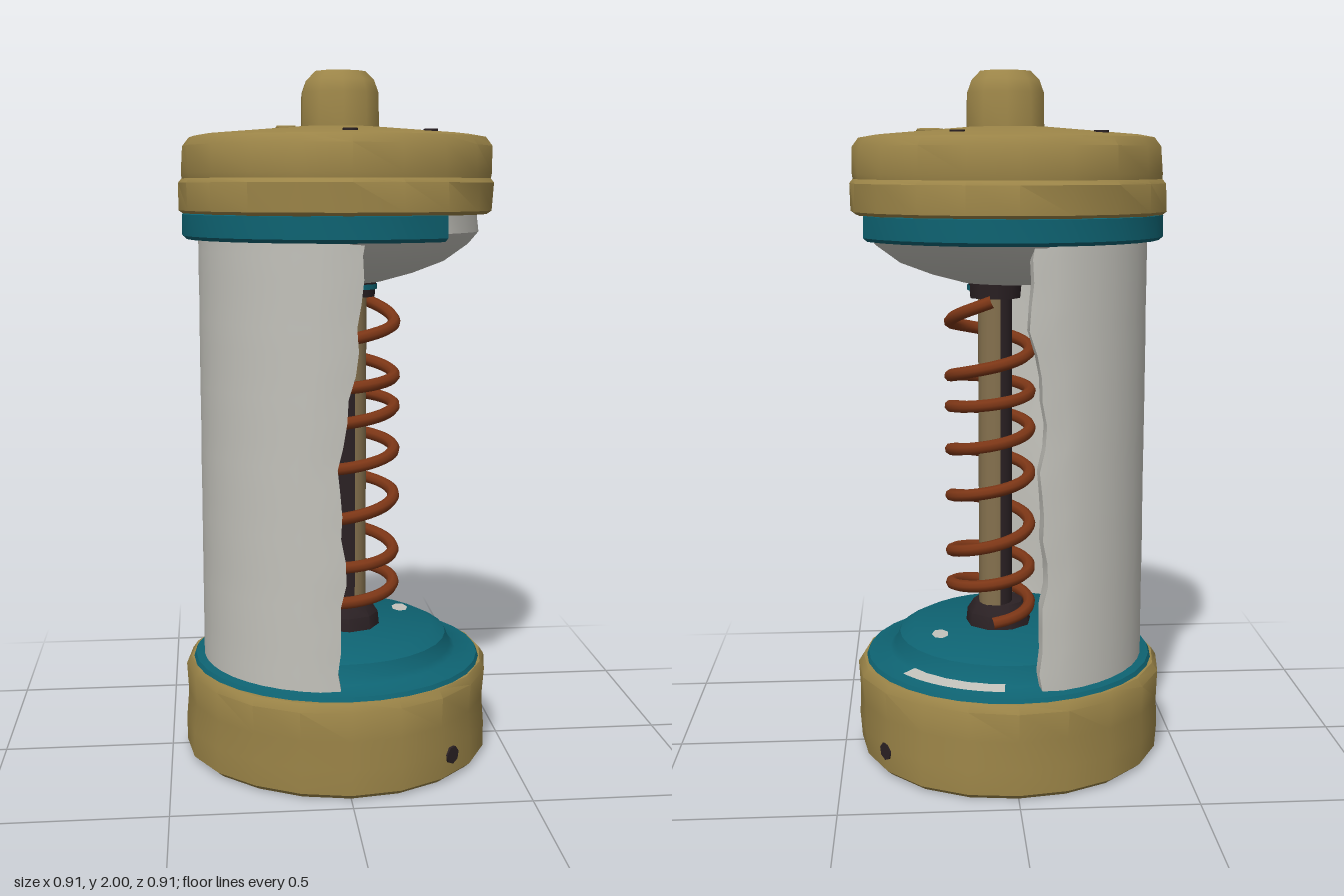
import * as THREE from 'three';
import { toCreasedNormals } from 'three/addons/utils/BufferGeometryUtils.js';

const paint = (name, color, side = THREE.FrontSide) => {
  const m = new THREE.MeshStandardMaterial({ color, side });
  m.name = name;
  return m;
};

export function createModel() {
  const brass = paint('brass', 0x9c8548);
  const teal = paint('teal', 0x0e6372, THREE.DoubleSide);
  const white = paint('offWhite', 0xc3c2bb, THREE.DoubleSide);
  const copper = paint('copper', 0x7c3616);
  const dark = paint('darkMetal', 0x2b2124, THREE.DoubleSide);
  const rodTan = paint('rodTan', 0x85714e);

  const model = new THREE.Group();
  const add = (name, geo, mat, x = 0, y = 0, z = 0) => {
    const m = new THREE.Mesh(geo, mat);
    m.name = name;
    m.position.set(x, y, z);
    model.add(m);
    return m;
  };

  // Turned part from [radius, height] pairs, with an optional vertex rule
  const turned = (pts, sides = 20, start = 0, sweep = Math.PI * 2, rule = null) => {
    const g = new THREE.LatheGeometry(pts.map(p => new THREE.Vector2(p[0], p[1])), sides, start, sweep);
    if (rule) {
      const p = g.attributes.position;
      for (let i = 0; i < p.count; i++) {
        const k = rule(Math.atan2(p.getX(i), p.getZ(i)), p.getY(i));
        p.setX(i, p.getX(i) * k);
        p.setZ(i, p.getZ(i) * k);
      }
    }
    return toCreasedNormals(g, 0.7);
  };
  const worn = (a, y) => 1 + 0.008 * Math.sin(3 * a + 9 * y) + 0.005 * Math.cos(5 * a - 14 * y);

  // Lower cap and its seat
  add('lowerCap', turned([[0, 0], [0.435, 0], [0.452, 0.015], [0.455, 0.09], [0.45, 0.17],
    [0.455, 0.255], [0.44, 0.278], [0, 0.28]], 20, 0, Math.PI * 2, worn), brass);
  add('lowerSeat', turned([[0.435, 0.27], [0.425, 0.29], [0.36, 0.3], [0.345, 0.315], [0.33, 0.35],
    [0.29, 0.37], [0, 0.372]], 32), teal);
  add('residueArc', turned([[0.395, 0.299], [0.35, 0.306]], 12, 2.2, 0.85), white);
  const chip = add('residueChip', new THREE.CircleGeometry(0.025, 7), white, 0.21, 0.375, -0.115);
  chip.rotation.x = -Math.PI / 2;
  chip.scale.y = 1.6;

  // Upper cap
  add('upperCap', turned([[0, 1.6], [0.44, 1.6], [0.454, 1.61], [0.455, 1.688], [0.445, 1.7],
    [0.447, 1.715], [0.444, 1.79], [0.425, 1.815], [0.38, 1.823], [0.12, 1.845], [0, 1.846]],
    20, 0, Math.PI * 2, worn), brass);
  add('upperSeal', turned([[0.4, 1.535], [0.435, 1.53], [0.446, 1.54], [0.446, 1.6], [0.4, 1.61]],
    24, 1.96, Math.PI * 2 - 1.32), teal);

  // Nozzle with a shallow bore
  add('nozzle', turned([[0.115, 1.83], [0.113, 1.94], [0.1, 1.975], [0.075, 2], [0.06, 1.995],
    [0.043, 1.965], [0, 1.962]], 10), brass, 0.01);

  // Ceiling bowl inside the upper seal
  add('ceilingBowl', turned([[0, 1.4], [0.13, 1.405], [0.22, 1.43], [0.31, 1.465], [0.38, 1.515],
    [0.41, 1.55], [0.405, 1.6]], 32, 0, Math.PI * 2,
    (a, y) => 1 + 0.03 * Math.sin(4 * a + 1) * Math.min(1, (1.6 - y) * 8)), white);

  // Broken half shell: one closed cross-section loop per level
  const rows = 20, cols = 20, loop = 2 * (cols + 1);
  const pos = [], idx = [];
  for (let j = 0; j <= rows; j++) {
    const t = j / rows, y = 0.28 + 1.28 * t;
    const ragged = 0.008 * Math.sin(17 * t) + 0.006 * Math.sin(41 * t);
    const flare = THREE.MathUtils.smoothstep(t, 0.55, 0.85);
    const a0 = Math.asin((0.02 - 0.055 * flare + ragged) / 0.38);
    const a1 = Math.PI - Math.asin((0.07 - 0.03 * flare - ragged) / 0.38);
    for (let i = 0; i < loop; i++) {
      const inner = i > cols;
      const u = inner ? (loop - 1 - i) / cols : i / cols;
      const a = a0 + (a1 - a0) * u;
      const edge = u === 0 || u === 1 ? 0.008 : 0;
      const r = inner ? 0.345 + edge + 0.007 * Math.sin(5 * a + 9 * t) : 0.4 - edge;
      pos.push(-r * Math.sin(a), y, r * Math.cos(a));
      if (j < rows) {
        const p = j * loop + i, q = j * loop + (i + 1) % loop;
        idx.push(p, p + loop, q, q, p + loop, q + loop);
      }
    }
  }
  const shell = new THREE.BufferGeometry();
  shell.setAttribute('position', new THREE.Float32BufferAttribute(pos, 3));
  shell.setIndex(idx);
  add('halfShell', toCreasedNormals(shell, 0.8), white);

  // Central rod: a light half and a dark half, with collars
  const cx = 0.04, cz = -0.01;
  const half = start => new THREE.CylinderGeometry(0.05, 0.05, 1.06, 8, 1, true, start, Math.PI);
  add('rodLightSide', half(0.25), rodTan, cx, 0.89, cz);
  add('rodDarkSide', half(0.25 + Math.PI), dark, cx, 0.89, cz);
  add('lowerCollar', turned([[0.1, 0.36], [0.095, 0.41], [0.075, 0.44], [0, 0.45]], 9), dark, cx - 0.01, 0, 0.01);
  add('upperCollar', new THREE.CylinderGeometry(0.08, 0.075, 0.05, 10), dark, cx, 1.385, cz);
  add('upperCollarRing', new THREE.CylinderGeometry(0.078, 0.078, 0.015, 10, 1, true, 0, 2), teal, cx + 0.003, 1.39, cz + 0.003);

  // Spring with uneven pitch: height reached after each turn
  const heights = [0.375, 0.5, 0.6, 0.77, 0.91, 1.04, 1.13, 1.29, 1.56];
  const path = [];
  for (let k = -0.75; k <= 6.3; k += 1 / 16) {
    const n = Math.floor(k), y = THREE.MathUtils.lerp(heights[n + 1], heights[n + 2], k - n);
    const a = k * Math.PI * 2;
    path.push(new THREE.Vector3(0.055 + 0.117 * Math.cos(a), y, -0.005 - 0.12 * Math.sin(a)));
  }
  add('spring', new THREE.TubeGeometry(new THREE.CatmullRomCurve3(path), 260, 0.018, 8), copper);

  // Pinholes and dimples in the upper cap
  const topY = r => 1.8455 - 0.022 * Math.max(0, r - 0.12) / 0.26;
  for (const [x, z] of [[-0.235, -0.24], [0.155, -0.3], [0.24, 0.215], [0, 0.385]])
    add('topHole', new THREE.CylinderGeometry(0.021, 0.021, 0.006, 7), dark, x, topY(Math.hypot(x, z)) + 0.001, z);
  for (const [x, z, r] of [[0.225, -0.105, 0.033], [-0.15, 0.1, 0.024]])
    add('topDimple', new THREE.TorusGeometry(r, 0.006, 5, 10).rotateX(Math.PI / 2), brass, x, topY(Math.hypot(x, z)) - 0.002, z);

  // Pinholes in the side of the lower cap
  for (const [x, z] of [[0.3, 0.34], [0.37, -0.26]]) {
    const a = Math.atan2(x, z), r = 0.453;
    const hole = add('sideHole', new THREE.CylinderGeometry(0.026, 0.026, 0.009, 7).rotateX(Math.PI / 2),
      dark, r * Math.sin(a), 0.075, r * Math.cos(a));
    hole.rotation.y = a;
  }

  return model;
}
